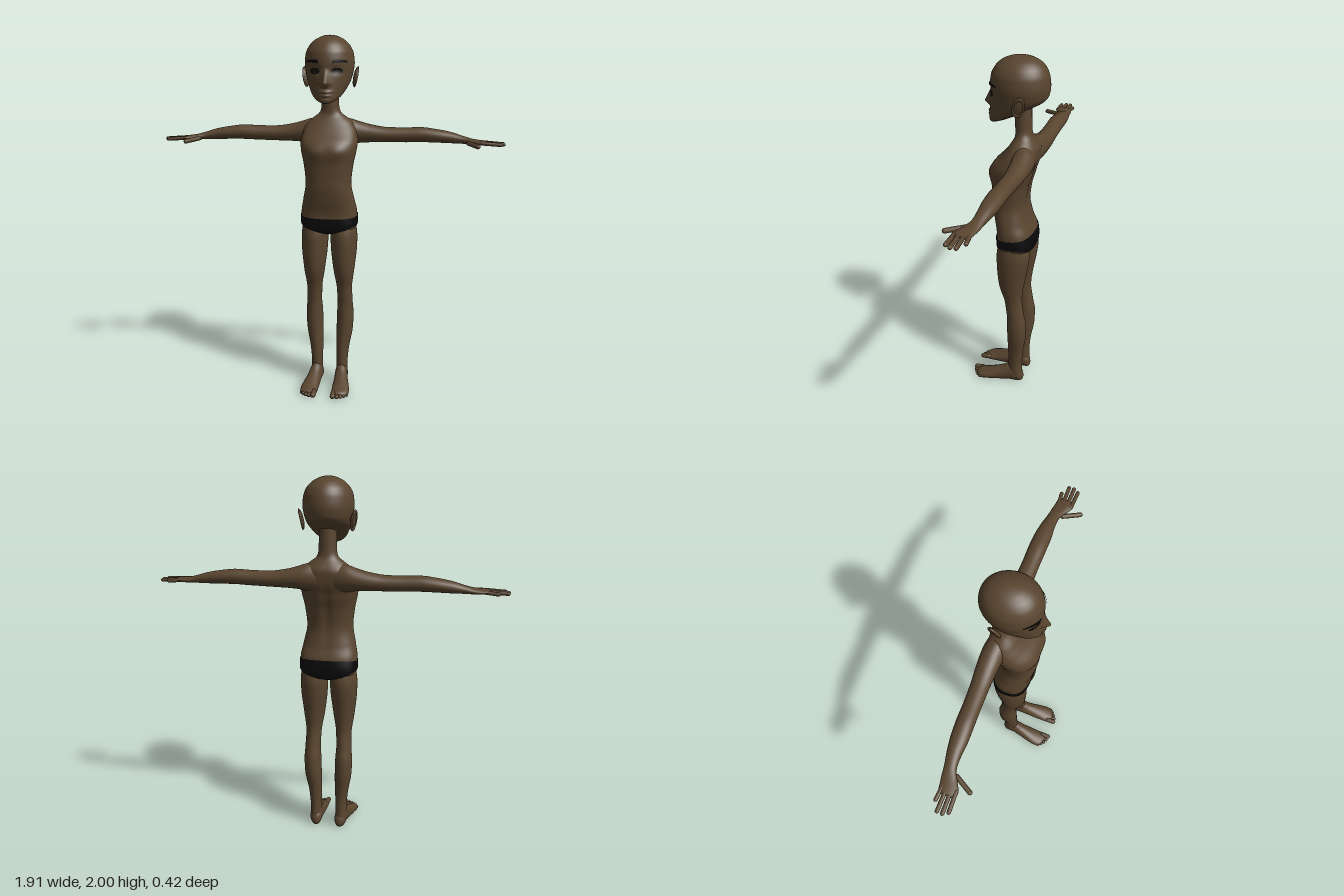
import * as THREE from 'three';

const mat = (name, color) => Object.assign(new THREE.MeshStandardMaterial({ color }), { name });
const skin = mat('skin', 0x59452f);
const black = mat('black cloth and hair', 0x0a0a0a);
const iris = mat('dark brown iris', 0x24170e);

// Smooth monotone interpolation of section rows: [t, c1, c2, r1, r2, exponent, tilt]
const val = (row, k) => row[k] ?? (k === 5 ? 2 : 0);
function section(rows, t) {
  let i = 0;
  while (i < rows.length - 2 && t > rows[i + 1][0]) i++;
  const h = rows[i + 1][0] - rows[i][0], u = (t - rows[i][0]) / h;
  const out = [t];
  for (let k = 1; k < 7; k++) {
    const slope = j => (val(rows[j + 1], k) - val(rows[j], k)) / (rows[j + 1][0] - rows[j][0]);
    const tangent = j => {
      if (j === 0) return slope(0);
      if (j === rows.length - 1) return slope(j - 1);
      const a = slope(j - 1), b = slope(j);
      return a * b <= 0 ? 0 : 2 * a * b / (a + b);
    };
    const u2 = u * u, u3 = u2 * u;
    out.push((2 * u3 - 3 * u2 + 1) * val(rows[i], k) + (u3 - 2 * u2 + u) * h * tangent(i)
      + (3 * u2 - 2 * u3) * val(rows[i + 1], k) + (u3 - u2) * h * tangent(i + 1));
  }
  return out;
}

// Point on the superellipse section: [along, across, depth]
function ringPoint(rows, t, a, grow = 0) {
  const [, c1, c2, r1, r2, n, tilt] = section(rows, t);
  const pw = v => Math.sign(v) * Math.abs(v) ** (2 / n);
  const q = (r2 + grow) * pw(Math.sin(a));
  return [t + tilt * q, c1 + (r1 + grow) * pw(Math.cos(a)), c2 + q];
}

// Closed grid of rings, faces turned outward
function skinGrid(point, rings, sides, caps) {
  const pos = [], idx = [];
  for (let i = 0; i <= rings; i++)
    for (let j = 0; j < sides; j++) pos.push(...point(i / rings, j / sides * Math.PI * 2).toArray());
  for (let i = 0; i < rings; i++)
    for (let j = 0; j < sides; j++) {
      const k = (j + 1) % sides, a = i * sides + j, b = i * sides + k;
      idx.push(a, b, a + sides, b, b + sides, a + sides);
    }
  if (caps) for (const i of [0, rings]) {
    const c = new THREE.Vector3(), s = i * sides;
    for (let j = 0; j < sides; j++) c.add(new THREE.Vector3().fromArray(pos, (s + j) * 3));
    const id = pos.length / 3;
    pos.push(...c.divideScalar(sides).toArray());
    for (let j = 0; j < sides; j++) {
      const a = s + j, b = s + (j + 1) % sides;
      idx.push(...(i ? [a, b, id] : [b, a, id]));
    }
  }
  const v = k => new THREE.Vector3().fromArray(pos, k * 3);
  let volume = 0;
  for (let i = 0; i < idx.length; i += 3) volume += v(idx[i]).dot(v(idx[i + 1]).cross(v(idx[i + 2])));
  if (volume < 0) idx.reverse();
  const g = new THREE.BufferGeometry();
  g.setAttribute('position', new THREE.Float32BufferAttribute(pos, 3));
  g.setIndex(idx);
  g.computeVertexNormals();
  return g;
}

function loft(rows, place, rings, sides) {
  const t0 = rows[0][0], t1 = rows[rows.length - 1][0];
  return skinGrid((u, a) => place(...ringPoint(rows, t0 + (t1 - t0) * (1 - Math.cos(Math.PI * u)) / 2, a)),
    rings, sides, true);
}

const V = (x, y, z) => new THREE.Vector3(x, y, z);
const bump = (d, w) => Math.exp(-((d / w) ** 2));

const torsoRows = [
  [0.905, 0, -0.05, 0.012, 0.05, 2], [0.925, 0, -0.05, 0.1, 0.092, 2.6], [0.945, 0, -0.048, 0.15, 0.1, 2.8],
  [0.98, 0, -0.047, 0.157, 0.102, 2.7], [1.03, 0, -0.043, 0.157, 0.1, 2.5], [1.1, 0, -0.025, 0.145, 0.096, 2.3],
  [1.2, 0, -0.01, 0.127, 0.095, 2.3], [1.3, 0, -0.013, 0.137, 0.103, 2.3], [1.38, 0, -0.02, 0.153, 0.118, 2.3],
  [1.42, 0, -0.033, 0.158, 0.117, 2.3], [1.48, 0, -0.065, 0.15, 0.095, 2.3], [1.53, 0, -0.082, 0.125, 0.075, 2.2],
  [1.56, 0, -0.082, 0.09, 0.056], [1.585, 0, -0.078, 0.058, 0.046], [1.62, 0, -0.075, 0.049, 0.044],
  [1.75, 0, -0.07, 0.047, 0.046]];

const headRows = [
  [1.662, 0, 0.02, 0.005, 0.02, 2, -0.4], [1.668, 0, 0.02, 0.045, 0.07, 2, -0.4],
  [1.69, 0, 0.005, 0.08, 0.1, 2, -0.35], [1.72, 0, -0.02, 0.1, 0.125, 2, -0.25],
  [1.76, 0, -0.042, 0.118, 0.145, 2, -0.12], [1.8, 0, -0.052, 0.128, 0.153, 2, -0.04],
  [1.85, 0, -0.055, 0.135, 0.156], [1.9, 0, -0.055, 0.13, 0.15], [1.94, 0, -0.057, 0.113, 0.132],
  [1.97, 0, -0.058, 0.085, 0.103], [1.99, 0, -0.06, 0.05, 0.063], [1.998, 0, -0.06, 0.022, 0.028],
  [2, 0, -0.06, 0.002, 0.002]];

const armRows = [
  [0.03, 1.472, -0.095, 0.075, 0.06], [0.1, 1.477, -0.105, 0.073, 0.062], [0.16, 1.473, -0.112, 0.06, 0.058],
  [0.22, 1.467, -0.114, 0.05, 0.054], [0.32, 1.461, -0.112, 0.042, 0.048], [0.42, 1.462, -0.11, 0.041, 0.046],
  [0.5, 1.465, -0.109, 0.041, 0.047], [0.58, 1.46, -0.107, 0.037, 0.046], [0.66, 1.452, -0.105, 0.031, 0.038],
  [0.73, 1.441, -0.098, 0.021, 0.032], [0.78, 1.433, -0.083, 0.016, 0.041], [0.83, 1.43, -0.067, 0.013, 0.049],
  [0.855, 1.429, -0.066, 0.009, 0.044], [0.862, 1.429, -0.066, 0.003, 0.03]];

const legRows = [
  [0.04, 0.074, -0.06, 0.034, 0.042], [0.12, 0.074, -0.058, 0.032, 0.042], [0.2, 0.076, -0.06, 0.036, 0.044],
  [0.35, 0.088, -0.07, 0.048, 0.055], [0.42, 0.09, -0.07, 0.048, 0.056], [0.5, 0.09, -0.062, 0.043, 0.05],
  [0.57, 0.087, -0.052, 0.043, 0.05], [0.7, 0.085, -0.037, 0.06, 0.073], [0.83, 0.084, -0.043, 0.074, 0.09],
  [0.89, 0.083, -0.046, 0.076, 0.094], [0.94, 0.082, -0.047, 0.072, 0.088], [0.98, 0.078, -0.048, 0.063, 0.075]];

const footRows = [
  [-0.108, 0.07, 0.035, 0.006, 0.012], [-0.1, 0.07, 0.037, 0.022, 0.032], [-0.08, 0.072, 0.045, 0.033, 0.047],
  [-0.03, 0.074, 0.058, 0.036, 0.062], [0.02, 0.079, 0.042, 0.04, 0.05], [0.08, 0.086, 0.028, 0.047, 0.037],
  [0.13, 0.09, 0.019, 0.05, 0.026], [0.165, 0.087, 0.014, 0.043, 0.019], [0.18, 0.08, 0.012, 0.025, 0.012]];

// Nose, lips, chin and eye sockets as relief on the face
function relief(x, y) {
  const ramp = y > 1.745 ? Math.max(0, (1.825 - y) / 0.08) : Math.max(0, (y - 1.72) / 0.025);
  const nose = 0.036 * ramp * bump(x, 0.012 + 0.009 * ramp);
  const lips = (0.012 * bump(y - 1.701, 0.008) + 0.011 * bump(y - 1.682, 0.008)) * bump(x, 0.028);
  const sockets = -0.009 * bump(y - 1.812, 0.022) * bump(Math.abs(x) - 0.058, 0.035);
  return nose + lips + sockets + 0.006 * bump(y - 1.655, 0.014) * bump(x, 0.03);
}

// Thin plate that follows the face
function facePlate(name, material, outline, lift) {
  const g = new THREE.PlaneGeometry(2, 2, 16, 8), p = g.attributes.position;
  for (let i = 0; i < p.count; i++) {
    const [x, y] = outline(p.getX(i), p.getY(i));
    const [, , cz, rx, rz] = section(headRows, y);
    p.setXYZ(i, x, y, cz + rz * Math.sqrt(Math.max(0, 1 - (x / rx) ** 2)) + relief(x, y) + lift);
  }
  g.computeVertexNormals();
  return named(name, g, material);
}

function named(name, geometry, material) {
  const m = new THREE.Mesh(geometry, material);
  m.name = name;
  return m;
}

// Rounded digit between two points
function digit(name, a, b, r, flat = 1) {
  const d = b.clone().sub(a), m = named(name, new THREE.CapsuleGeometry(r, d.length() - r, 6, 12), skin);
  m.position.copy(a).lerp(b, 0.5);
  m.quaternion.setFromUnitVectors(V(0, 1, 0), d.normalize());
  m.scale.z = flat;
  return m;
}

export function createModel() {
  const model = new THREE.Group();
  model.name = 'figure';

  // Torso with neck, soft chest and spine groove
  model.add(named('torso', loft(torsoRows, (y, x, z) => V(x, y, z
    + (z > 0 ? 0.008 * bump(y - 1.385, 0.035) * bump(Math.abs(x) - 0.065, 0.045) : 0)
    + (z < -0.06 ? 0.008 * bump(x, 0.02) * bump(y - 1.28, 0.18) : 0)), 90, 64), skin));

  // Head
  model.add(named('head', loft(headRows, (y, x, z) => V(x, y, z + (z > 0 ? relief(x, y) : 0)), 120, 128), skin));

  // Briefs: shell just above the hips, cut high at the sides
  const briefs = skinGrid((u, a) => {
    const s = Math.sin(a), low = 0.96 - 0.053 * s ** 4, high = 1.016 - 0.012 * s;
    const [y, x, z] = ringPoint(torsoRows, low + (high - low) * u, a, 0.004);
    return V(x, y, z);
  }, 14, 72, false);
  const briefsMat = black;
  briefsMat.side = THREE.DoubleSide;
  model.add(named('briefs', briefs, briefsMat));
  const gusset = named('briefsGusset', new THREE.SphereGeometry(1, 24, 16), black);
  gusset.scale.set(0.024, 0.022, 0.088);
  gusset.position.set(0, 0.926, -0.048);
  model.add(gusset);

  for (const s of [1, -1]) {
    const side = s > 0 ? 'left' : 'right';

    // Arm with palm
    model.add(named(side + 'Arm', loft(armRows, (x, y, z) => V(s * x, y, z), 60, 32), skin));

    // Fingers [tip x, base z, tip z] and thumb
    [[0.94, -0.03, -0.026], [0.955, -0.054, -0.053], [0.953, -0.078, -0.081], [0.905, -0.1, -0.108]]
      .forEach(([x, z0, z1], i) => model.add(digit(side + 'Finger' + (i + 1),
        V(s * 0.82, 1.431, z0), V(s * (x - 0.006), 1.424, z1), 0.0105)));
    model.add(digit(side + 'Thumb', V(s * 0.755, 1.428, -0.06), V(s * 0.81, 1.418, 0.036), 0.0125));

    // Leg and foot
    model.add(named(side + 'Leg', loft(legRows, (y, x, z) => V(s * x, y, z), 60, 36), skin));
    model.add(named(side + 'Foot', loft(footRows, (z, x, y) => V(s * x, Math.max(0, y), z), 40, 32), skin));

    // Toes [x, tip z, radius]
    [[0.056, 0.205, 0.015], [0.08, 0.2, 0.011], [0.099, 0.19, 0.0105], [0.116, 0.176, 0.01], [0.13, 0.16, 0.0095]]
      .forEach(([x, z, r], i) => model.add(digit(side + 'Toe' + (i + 1),
        V(s * x * 0.98, r + 0.006, z - 0.055), V(s * x, r, z), r)));

    // Ear with rim
    const ear = new THREE.Group();
    ear.name = side + 'Ear';
    const lobe = named('earShell', new THREE.SphereGeometry(1, 20, 16), skin);
    lobe.scale.set(0.01, 0.052, 0.029);
    const rim = named('earRim', new THREE.TorusGeometry(0.026, 0.006, 8, 28), skin);
    rim.rotation.y = Math.PI / 2;
    rim.scale.y = 1.85;
    rim.position.x = s * 0.005;
    ear.add(lobe, rim);
    ear.position.set(s * 0.136, 1.778, -0.088);
    ear.rotation.set(-0.2, s * 0.3, -s * 0.16);
    model.add(ear);

    // Eyebrow, eye and iris
    model.add(facePlate(side + 'Eyebrow', black, (u, v) => {
      const k = u * s;
      return [s * 0.074 + u * 0.037, 1.858 + 0.004 * (1 - k * k) + v * 0.009 * (1 - 0.45 * Math.max(0, k))];
    }, 0.006));
    const oval = (cx, cy, w, h) => (u, v) => [s * cx + u * w, cy + v * h * Math.sqrt(1 - u * u * 0.98)];
    model.add(facePlate(side + 'Eye', black, oval(0.06, 1.81, 0.029, 0.017), 0.004));
    model.add(facePlate(side + 'Iris', iris, oval(0.058, 1.808, 0.014, 0.012), 0.006));
  }
  return model;
}
